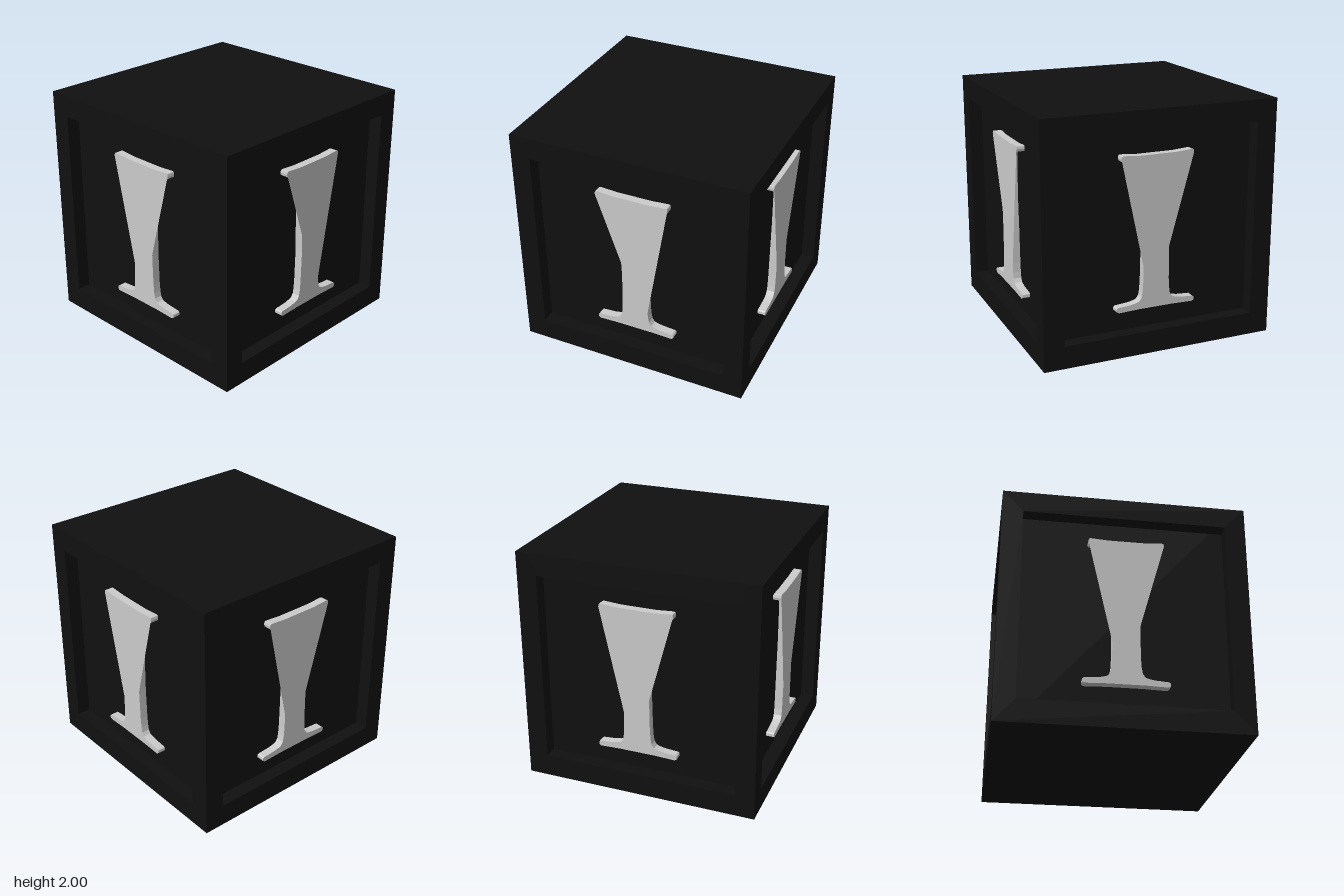
import * as THREE from 'three';

const FLOOR = 0.885; // distance of the recessed panels from the centre
const RELIEF = 0.955; // distance of the emblem fronts

// Half outline of the emblem's lower part, from stem to foot tip
const FOOT = [[0.107, 0.87], [0.112, 0.6], [0.117, 0.52], [0.125, 0.47], [0.145, 0.44], [0.17, 0.43], [0.22, 0.42],
  [0.33, 0.412], [0.342, 0.403], [0.343, 0.38], [0.325, 0.368], [0.15, 0.374]];
// Half outline of the top bar, from its centre to the stem
const BAR = [[0.15, 1.635], [0.29, 1.645], [0.306, 1.641], [0.31, 1.62], [0.305, 1.6], [0.2, 1.59], [0.14, 1.57],
  [0.12, 1.52], [0.112, 1.4], [0.107, 1.14]];

const toShape = (pts) => new THREE.Shape(pts.map(([x, y]) => new THREE.Vector2(x, y)));

// Closed outline from a right and a left half, each running top to bottom
function outline(right, left) {
  return toShape([...right, ...[...left].reverse()]);
}

// Column with curved bars at both ends
function columnShape(centre, topCentre) {
  const half = (s) => [...BAR.map(([x, y]) => [topCentre + s * x, y]), ...FOOT.map(([x, y]) => [centre + s * x, y])];
  return outline(half(1), half(-1));
}

// Front plate: runs straight from the bar tips down to the stem
function plateShape(centre, topCentre, waistLeft, waistRight) {
  const half = (s, waist) => [
    ...BAR.slice(0, 4).map(([x, y]) => [topCentre + s * x, y]),
    [centre + s * 0.11, waist],
    ...FOOT.filter(([, y]) => y < waist).map(([x, y]) => [centre + s * x, y]),
  ];
  return outline(half(1, waistRight), half(-1, waistLeft));
}

// Square frame around a recessed panel
function frameShape(halfWidth) {
  const frame = toShape([[-halfWidth, 0], [halfWidth, 0], [halfWidth, 2], [-halfWidth, 2]]);
  frame.holes.push(toShape([[-0.83, 0.19], [-0.83, 1.82], [0.83, 1.82], [0.83, 0.19]]));
  return frame;
}

const extrude = (shape, depth) => new THREE.ExtrudeGeometry(shape, { depth, bevelEnabled: false });

export function createModel() {
  const model = new THREE.Group();
  model.name = 'emblemCube';
  const black = new THREE.MeshStandardMaterial({ color: 0x101010 });
  const grey = new THREE.MeshStandardMaterial({ color: 0xcccccc });
  const greyThin = new THREE.MeshStandardMaterial({ color: 0xcccccc, side: THREE.DoubleSide });

  const add = (parent, name, geometry, material, z = 0) => {
    const mesh = new THREE.Mesh(geometry, material);
    mesh.name = name;
    mesh.position.z = z;
    parent.add(mesh);
    return mesh;
  };

  // Core block, whose sides are the recessed panels
  add(model, 'core', new THREE.BoxGeometry(2 * FLOOR, 2, 2 * FLOOR), black).position.y = 1;

  // Four sides, each with a frame and an emblem
  const sides = [
    { name: 'frontSide', turn: 0, centre: 0.008, top: 0.015, waists: [0.72, 0.87] },
    { name: 'plusXSide', turn: 1, centre: 0.028, top: 0.018, waists: [1.01, 0.54] },
    { name: 'backSide', turn: 2, centre: -0.025, top: -0.02, waists: [0.72, 0.87] },
    { name: 'minusXSide', turn: 3, centre: -0.02, top: -0.015, waists: [0.72, 0.87] },
  ];
  for (const { name, turn, centre, top, waists } of sides) {
    const side = new THREE.Group();
    side.name = name;
    side.rotation.y = turn * Math.PI / 2;
    add(side, 'frame', extrude(frameShape(turn % 2 ? FLOOR : 1), 1 - FLOOR), black, FLOOR);
    add(side, 'emblemColumn', extrude(columnShape(centre, top), RELIEF - FLOOR - 0.002), grey, FLOOR);
    add(side, 'emblemPlate', new THREE.ShapeGeometry(plateShape(centre, top, ...waists)), greyThin, RELIEF);
    model.add(side);
  }
  return model;
}
